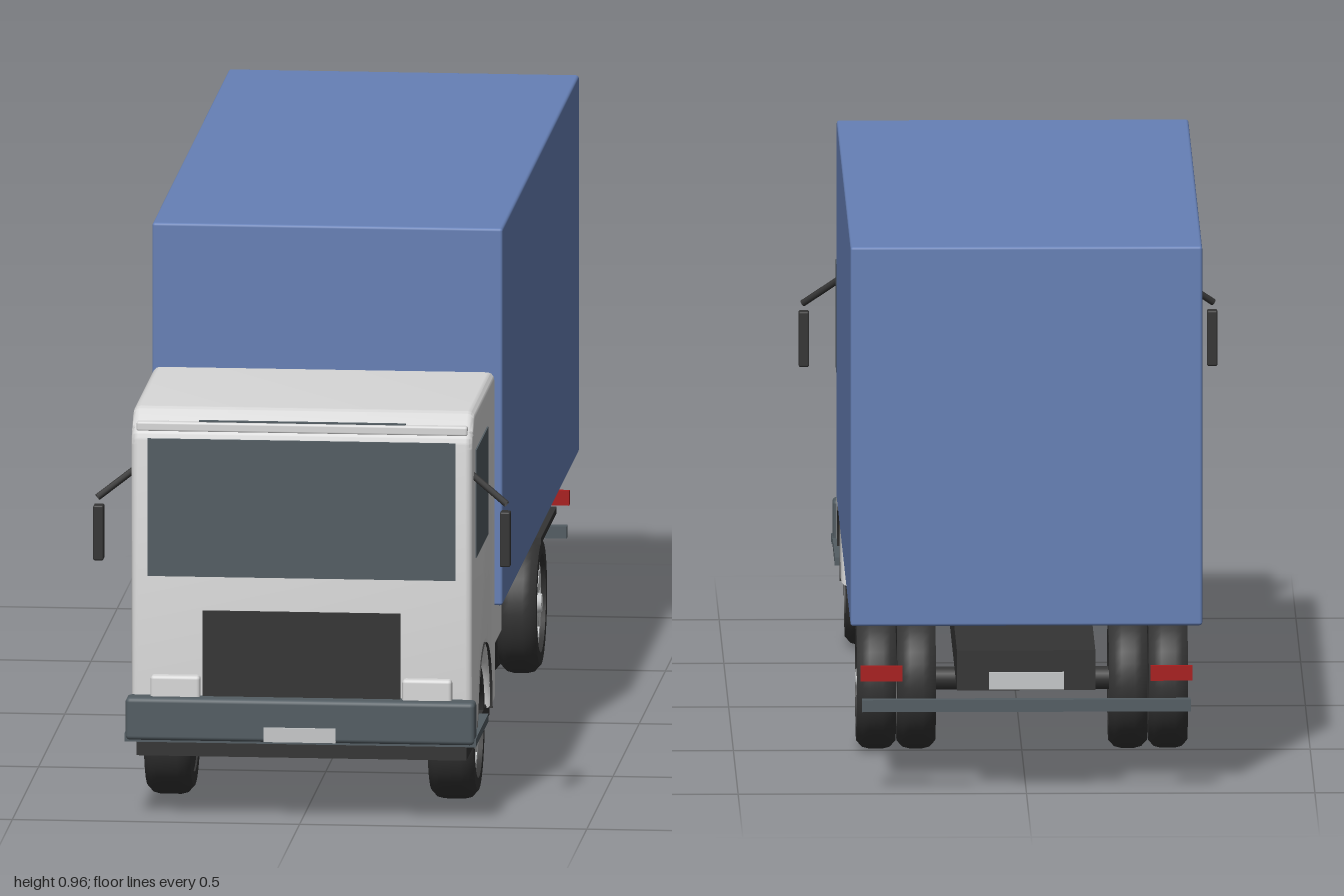
import * as THREE from 'three';
import { RoundedBoxGeometry } from 'three/addons/geometries/RoundedBoxGeometry.js';
import { toCreasedNormals } from 'three/addons/utils/BufferGeometryUtils.js';

const paint = (name, color) => {
  const m = new THREE.MeshStandardMaterial({ color });
  m.name = name;
  return m;
};

export function createModel() {
  const blue = paint('cargoBlue', 0x6680b6);
  const white = paint('cabWhite', 0xd8d8d8);
  const silver = paint('trimSilver', 0xc6c8c9);
  const slate = paint('slateGrey', 0x535d63);
  const dark = paint('darkGrey', 0x343434);
  dark.side = THREE.DoubleSide;
  const red = paint('lampRed', 0xa81c1c);

  const truck = new THREE.Group();
  truck.name = 'boxTruck';

  const add = (name, geometry, material, parent = truck) => {
    const mesh = new THREE.Mesh(geometry, material);
    mesh.name = name;
    parent.add(mesh);
    return mesh;
  };
  // Box given by its extents; a radius rounds the edges
  const block = (name, mat, [x0, x1], [y0, y1], [z0, z1], radius = 0) => {
    const size = [x1 - x0, y1 - y0, z1 - z0];
    const geo = radius ? new RoundedBoxGeometry(...size, 3, radius) : new THREE.BoxGeometry(...size);
    geo.translate((x0 + x1) / 2, (y0 + y1) / 2, (z0 + z1) / 2);
    return add(name, geo, mat);
  };
  // Same box on both sides
  const pair = (name, mat, [x0, x1], y, z, radius) => {
    block(name + 'Left', mat, [x0, x1], y, z, radius);
    block(name + 'Right', mat, [-x1, -x0], y, z, radius);
  };

  // Cargo box and chassis
  block('cargoBox', blue, [-0.305, 0.305], [0.295, 0.96], [-0.99, 0.47], 0.005);
  block('chassis', dark, [-0.12, 0.12], [0.178, 0.248], [-0.96, 0.53]);
  pair('sideTank', white, [0.172, 0.258], [0.15, 0.255], [-0.04, 0.225], 0.012);
  pair('rearMudguard', dark, [0.165, 0.3], [0.256, 0.268], [-0.615, -0.32]);

  // Cab: side outline with wheel arch, extruded across the width
  const WZ = 0.72, WY = 0.125, ARCH = 0.136;
  const side = new THREE.Shape();
  side.moveTo(0.517, 0.135);
  side.lineTo(WZ - ARCH, 0.135);
  side.absarc(WZ, 0.135, ARCH, Math.PI, 0, true);
  side.lineTo(0.957, 0.135);
  side.lineTo(0.962, 0.66);
  side.quadraticCurveTo(0.96, 0.684, 0.945, 0.695);
  side.lineTo(0.928, 0.712);
  side.quadraticCurveTo(0.92, 0.72, 0.905, 0.72);
  side.lineTo(0.545, 0.72);
  side.quadraticCurveTo(0.53, 0.72, 0.528, 0.705);
  side.closePath();
  const bevel = 0.012, width = 0.594;
  const cab = new THREE.ExtrudeGeometry(side, {
    depth: width - 2 * bevel, bevelSize: bevel, bevelThickness: bevel,
    bevelOffset: -bevel, bevelSegments: 3, curveSegments: 16,
  });
  cab.translate(0, 0, -width / 2 + bevel);
  cab.rotateY(-Math.PI / 2);
  add('cab', toCreasedNormals(cab, 0.6), white);

  // Cab floor and wheel housings
  block('cabFloor', dark, [-0.287, 0.287], [0.113, 0.142], [0.522, 0.962]);
  block('wheelHousing', dark, [-0.195, 0.195], [0.14, 0.27], [0.57, 0.87]);
  const liner = new THREE.CylinderGeometry(ARCH + 0.004, ARCH + 0.004, 0.596, 28, 1, true, 0, Math.PI);
  liner.rotateZ(Math.PI / 2);
  add('archLiner', liner, dark).position.set(0, 0.135, WZ);

  // Glass, grille and roof strip
  block('windshield', slate, [-0.268, 0.268], [0.43, 0.672], [0.956, 0.965]);
  pair('sideWindow', slate, [0.291, 0.2995], [0.46, 0.65], [0.678, 0.903]);
  block('grille', dark, [-0.172, 0.172], [0.2, 0.37], [0.957, 0.966]);
  block('roofLip', white, [-0.288, 0.288], [0.683, 0.7], [0.938, 0.956], 0.004);
  block('roofStrip', slate, [-0.18, 0.18], [0.695, 0.702], [0.94, 0.95]);

  // Headlights and front bumper
  pair('headlight', white, [0.176, 0.262], [0.2, 0.256], [0.95, 0.976], 0.006);
  block('frontBumper', slate, [-0.304, 0.304], [0.145, 0.22], [0.952, 0.995], 0.008);
  block('bumperLip', slate, [-0.306, 0.306], [0.142, 0.156], [0.955, 0.99]);
  pair('bumperSideBar', slate, [0.288, 0.304], [0.139, 0.153], [0.73, 0.96]);
  block('frontPlate', silver, [-0.0625, 0.0625], [0.147, 0.172], [0.992, 1]);

  // Rear bar, lamps and plate
  block('rearBar', slate, [-0.285, 0.285], [0.145, 0.166], [-0.992, -0.972]);
  pair('tailLamp', red, [0.215, 0.288], [0.2, 0.226], [-0.999, -0.988]);
  block('rearPlate', silver, [-0.065, 0.065], [0.185, 0.215], [-0.999, -0.991]);

  // Mirrors on angled arms
  pair('mirror', dark, [0.345, 0.363], [0.455, 0.552], [0.938, 0.962], 0.003);
  for (const s of [1, -1]) {
    const arm = new THREE.LineCurve3(
      new THREE.Vector3(s * 0.292, 0.612, 0.924), new THREE.Vector3(s * 0.356, 0.565, 0.952));
    add('mirrorArm', new THREE.TubeGeometry(arm, 1, 0.006, 8), dark);
  }

  // Wheel parts, outer face at x = 0 pointing to +x
  const RIM = 0.083;
  const rimShape = new THREE.Shape().absarc(0, 0, RIM, 0, Math.PI * 2);
  for (let i = 0; i < 6; i++) {
    const a = (i * Math.PI) / 3, hole = new THREE.Path();
    hole.absarc(0, 0, 0.07, a - 0.24, a + 0.24, false);
    hole.absarc(0, 0, 0.03, a + 0.16, a - 0.16, true);
    hole.closePath();
    rimShape.holes.push(hole);
  }
  const rimGeo = new THREE.ExtrudeGeometry(rimShape, { depth: 0.01, bevelEnabled: false, curveSegments: 20 });
  rimGeo.rotateY(Math.PI / 2);
  rimGeo.translate(-0.018, 0, 0);
  const hubGeo = new THREE.CylinderGeometry(0.016, 0.02, 0.014, 16);
  hubGeo.rotateZ(-Math.PI / 2);

  const wheel = (name, s, xOuter, z, w) => {
    const g = new THREE.Group();
    g.name = name;
    const profile = [[RIM, -w], [0.108, -w], [0.119, 0.01 - w], [0.122, 0.022 - w],
      [0.122, -0.022], [0.119, -0.01], [0.108, 0], [RIM + 0.003, 0], [RIM, -0.012]]
      .map(([r, y]) => new THREE.Vector2(r, y));
    const tyre = new THREE.LatheGeometry(profile, 36);
    tyre.rotateZ(-Math.PI / 2);
    add('tyre', toCreasedNormals(tyre, 0.7), dark, g);
    const core = new THREE.CylinderGeometry(RIM, RIM, w - 0.03, 28);
    core.rotateZ(Math.PI / 2);
    add('wheelCore', core, dark, g).position.x = -w / 2 - 0.012;
    if (xOuter > 0.25) {
      add('rim', rimGeo, silver, g);
      add('hub', hubGeo, silver, g).position.x = -0.006;
    }
    g.position.set(s * xOuter, WY, z);
    if (s < 0) g.rotation.y = Math.PI;
    truck.add(g);
  };
  for (const s of [1, -1]) {
    const tag = s > 0 ? 'Left' : 'Right';
    wheel('frontWheel' + tag, s, 0.287, WZ, 0.08);
    wheel('rearOuterWheel' + tag, s, 0.287, -0.47, 0.068);
    wheel('rearInnerWheel' + tag, s, 0.217, -0.47, 0.067);
  }
  // Rear axle
  const axle = new THREE.CylinderGeometry(0.02, 0.02, 0.4, 12);
  axle.rotateZ(Math.PI / 2);
  add('rearAxle', axle, dark).position.set(0, WY, -0.47);

  return truck;
}
